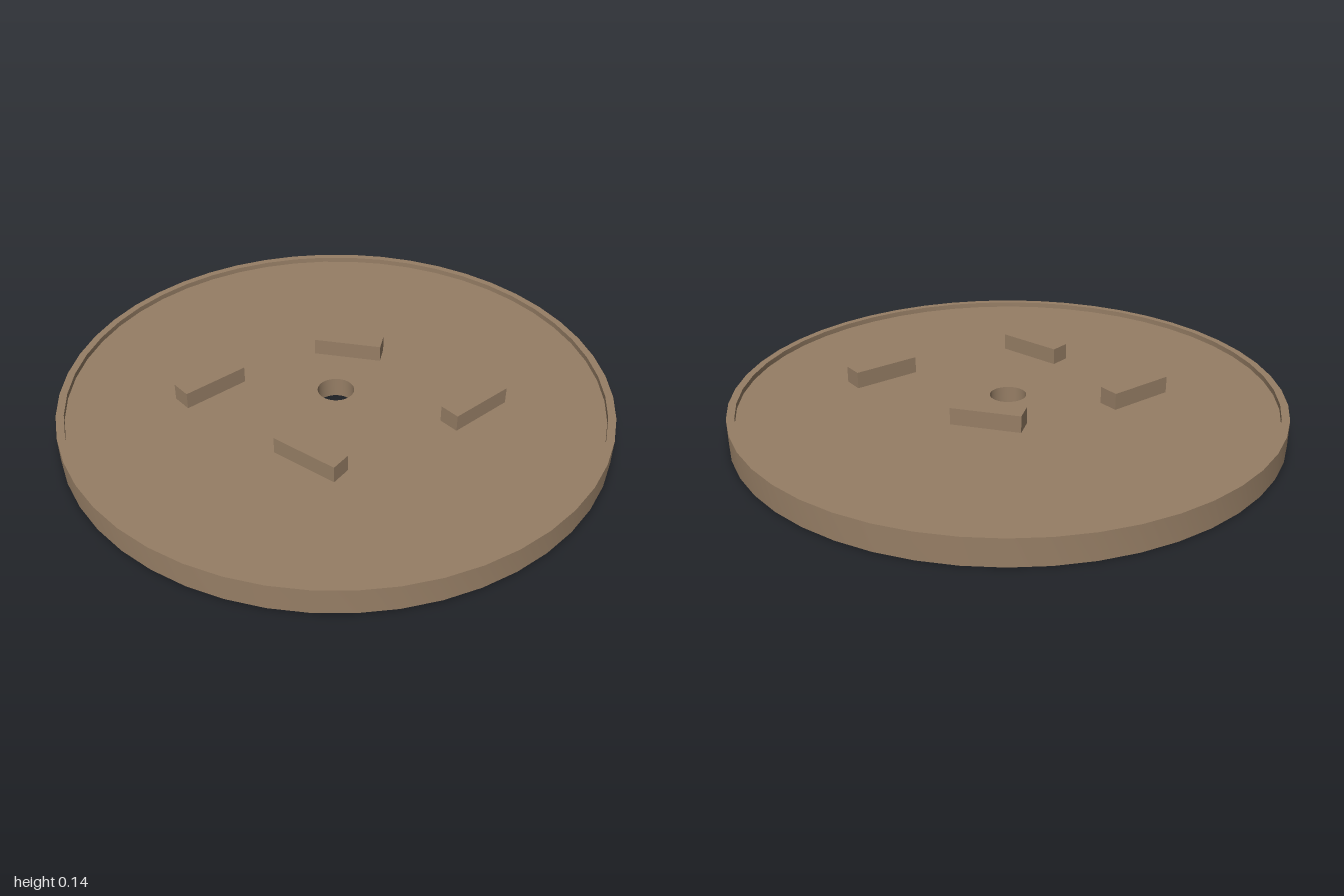
import * as THREE from 'three';
import { toCreasedNormals } from 'three/addons/utils/BufferGeometryUtils.js';

export function createModel() {
  const model = new THREE.Group();
  const brown = new THREE.MeshStandardMaterial({ color: 0x967e65 });
  brown.name = 'brown';

  const holeRadius = 0.067, rimRadius = 0.972, floorY = 0.075, rimY = 0.095, blockTop = 0.137;

  // Disc with a raised rim and a centre hole, one closed profile
  const profile = [
    [holeRadius, 0], [1, 0], [1, rimY], [rimRadius, rimY],
    [rimRadius, floorY], [holeRadius, floorY], [holeRadius, 0],
  ].map(([r, y]) => new THREE.Vector2(r, y));
  const disc = new THREE.Mesh(toCreasedNormals(new THREE.LatheGeometry(profile, 48), 0.6), brown);
  disc.name = 'rimmedDisc';
  model.add(disc);

  // Four blocks standing on the disc: x, z, turn in degrees
  const height = blockTop - floorY;
  const blockGeometry = new THREE.BoxGeometry(0.253, height, 0.077);
  const blocks = {
    backBlock: [0, -0.255, 0],
    frontBlock: [0, 0.415, -25.2],
    leftBlock: [0.505, 0.03, 52.6],
    rightBlock: [-0.448, 0.095, 52.6],
  };
  for (const [name, [x, z, turn]] of Object.entries(blocks)) {
    const block = new THREE.Mesh(blockGeometry, brown);
    block.name = name;
    block.position.set(x, floorY + height / 2, z);
    block.rotation.y = THREE.MathUtils.degToRad(turn);
    model.add(block);
  }
  return model;
}
